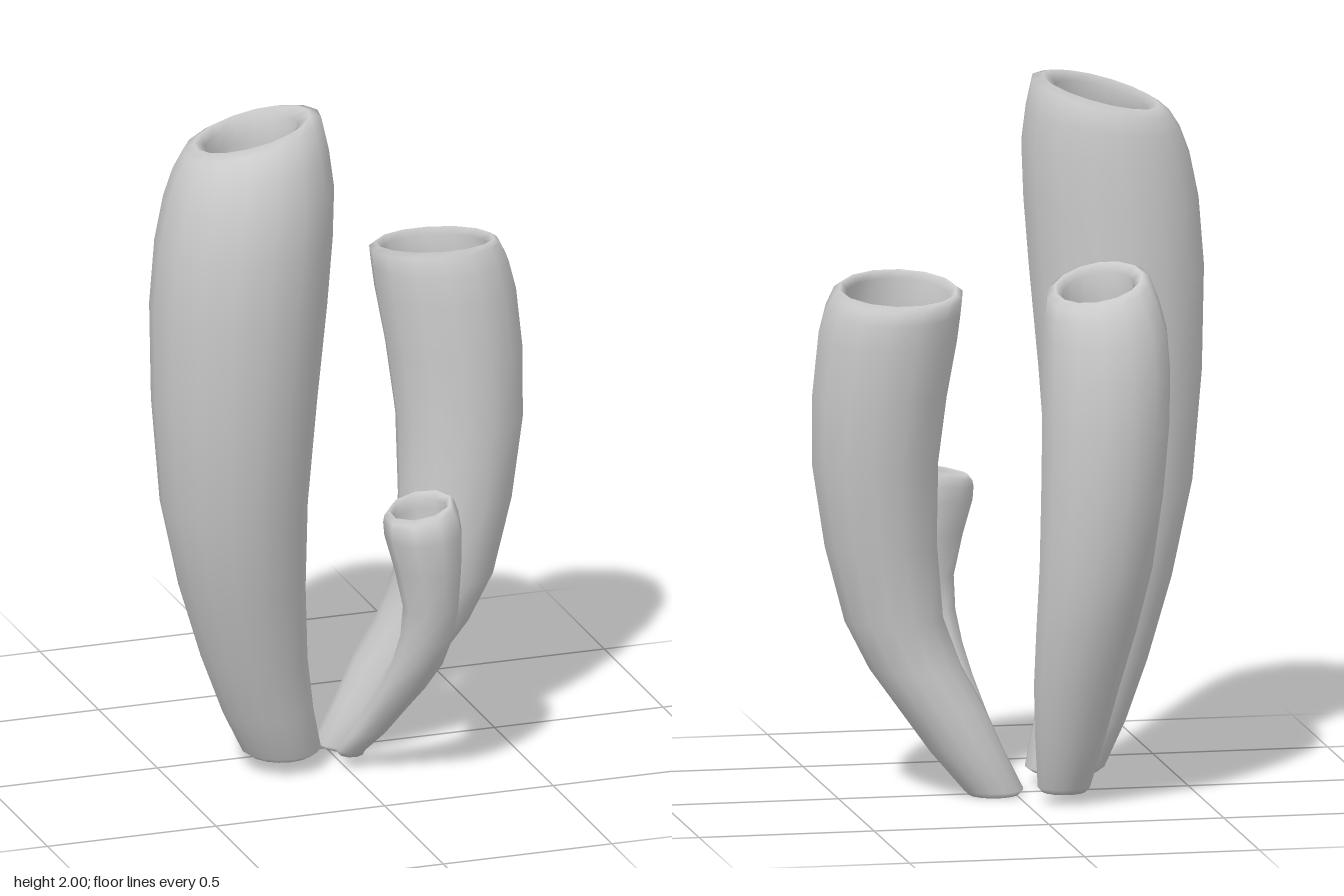
import * as THREE from 'three';

// A smooth curve through evenly numbered control points
const spline = (points) => new THREE.CatmullRomCurve3(points, false, 'catmullrom', 0.5);

// Hollow tube swept along a centre line; path entries are [x, y, z, radius] from foot to rim.
// slopeX and slopeZ slant the rim, mouth is the opening radius, floor is where the hollow ends (0..1).
function createTube(name, { sides, slopeX, slopeZ, mouth, floor, path }, material) {
  const centre = spline(path.map(([x, y, z]) => new THREE.Vector3(x, y, z)));
  const girth = spline(path.map((p) => new THREE.Vector3(p[3], 0, 0)));
  const rimRadius = girth.getPoint(1).x;
  const position = [], index = [];

  // One horizontal ring, slanted by tilt
  function addRing(t, radius, lift, tilt) {
    const c = centre.getPoint(t);
    for (let i = 0; i < sides; i++) {
      const a = (i / sides) * Math.PI * 2;
      const dx = Math.cos(a) * radius, dz = Math.sin(a) * radius;
      position.push(c.x + dx, c.y + lift + tilt * (slopeX * dx + slopeZ * dz), c.z + dz);
    }
  }

  // closed foot with a rounded edge
  const footRadius = girth.getPoint(0).x;
  addRing(0, 0, 0, 0);
  addRing(0, footRadius * 0.82, 0, 0);
  addRing(0, footRadius, 0.015, 0);
  // outer wall, leaning into the rim slope near the top
  for (let i = 1; i <= 10; i++) addRing(i / 10, girth.getPoint(i / 10).x, 0, (i / 10) ** 6);
  // rounded lip
  addRing(1, (rimRadius + mouth) / 2, 0.014, 1);
  addRing(1, mouth, -0.006, 1);
  // hollow that follows the wall down to a bowl-shaped floor
  for (let i = 1; i <= 6; i++) {
    const f = Math.sin((i / 6) * Math.PI / 2);
    const t = 1 - (1 - floor) * f;
    const bowl = Math.sqrt(1 - f ** 4);
    addRing(t, girth.getPoint(t).x * (mouth / rimRadius) * bowl, 0, t ** 6);
  }

  // skin neighbouring rings
  const rings = position.length / 3 / sides;
  for (let j = 0; j < rings - 1; j++) {
    for (let i = 0; i < sides; i++) {
      const p = j * sides + i, q = j * sides + ((i + 1) % sides);
      if (j > 0) index.push(p, p + sides, q);
      if (j < rings - 2) index.push(q, p + sides, q + sides);
    }
  }
  const geometry = new THREE.BufferGeometry();
  geometry.setAttribute('position', new THREE.Float32BufferAttribute(position, 3));
  geometry.setIndex(index);
  geometry.computeVertexNormals();
  const mesh = new THREE.Mesh(geometry, material);
  mesh.name = name;
  return mesh;
}

export function createModel() {
  const group = new THREE.Group();
  group.name = 'tubeCluster';
  const material = new THREE.MeshStandardMaterial({ color: 0xcccccc });

  group.add(createTube('tallTube', {
    sides: 16, slopeX: 0.25, slopeZ: 0.1, mouth: 0.13, floor: 0.58,
    path: [
      [-0.165, 0.04, 0.09, 0.113], [-0.26, 0.35, 0.135, 0.15], [-0.345, 0.85, 0.205, 0.208],
      [-0.342, 1.45, 0.235, 0.25], [-0.31, 1.78, 0.232, 0.24], [-0.292, 1.94, 0.208, 0.195],
    ],
  }, material));

  group.add(createTube('backTube', {
    sides: 14, slopeX: -0.2, slopeZ: 0.24, mouth: 0.1, floor: 0.55,
    path: [
      [-0.11, 0.03, -0.17, 0.075], [-0.13, 0.35, -0.255, 0.123], [-0.17, 0.7, -0.33, 0.162],
      [-0.193, 1.1, -0.35, 0.182], [-0.195, 1.36, -0.328, 0.177], [-0.18, 1.49, -0.31, 0.146],
    ],
  }, material));

  group.add(createTube('sideTube', {
    sides: 14, slopeX: 0, slopeZ: 0.14, mouth: 0.148, floor: 0.45,
    path: [
      [0.06, 0, -0.015, 0.085], [0.205, 0.25, 0.01, 0.122], [0.335, 0.5, 0.035, 0.141],
      [0.395, 0.95, 0, 0.18], [0.366, 1.32, -0.035, 0.2], [0.34, 1.445, -0.05, 0.185],
    ],
  }, material));

  group.add(createTube('smallTube', {
    sides: 9, slopeX: 0.2, slopeZ: -0.06, mouth: 0.076, floor: 0.55,
    path: [
      [0.02, 0.035, 0.155, 0.043], [0.085, 0.2, 0.265, 0.057], [0.145, 0.37, 0.37, 0.073],
      [0.165, 0.55, 0.425, 0.08], [0.142, 0.77, 0.427, 0.111], [0.134, 0.838, 0.416, 0.1],
    ],
  }, material));

  return group;
}
